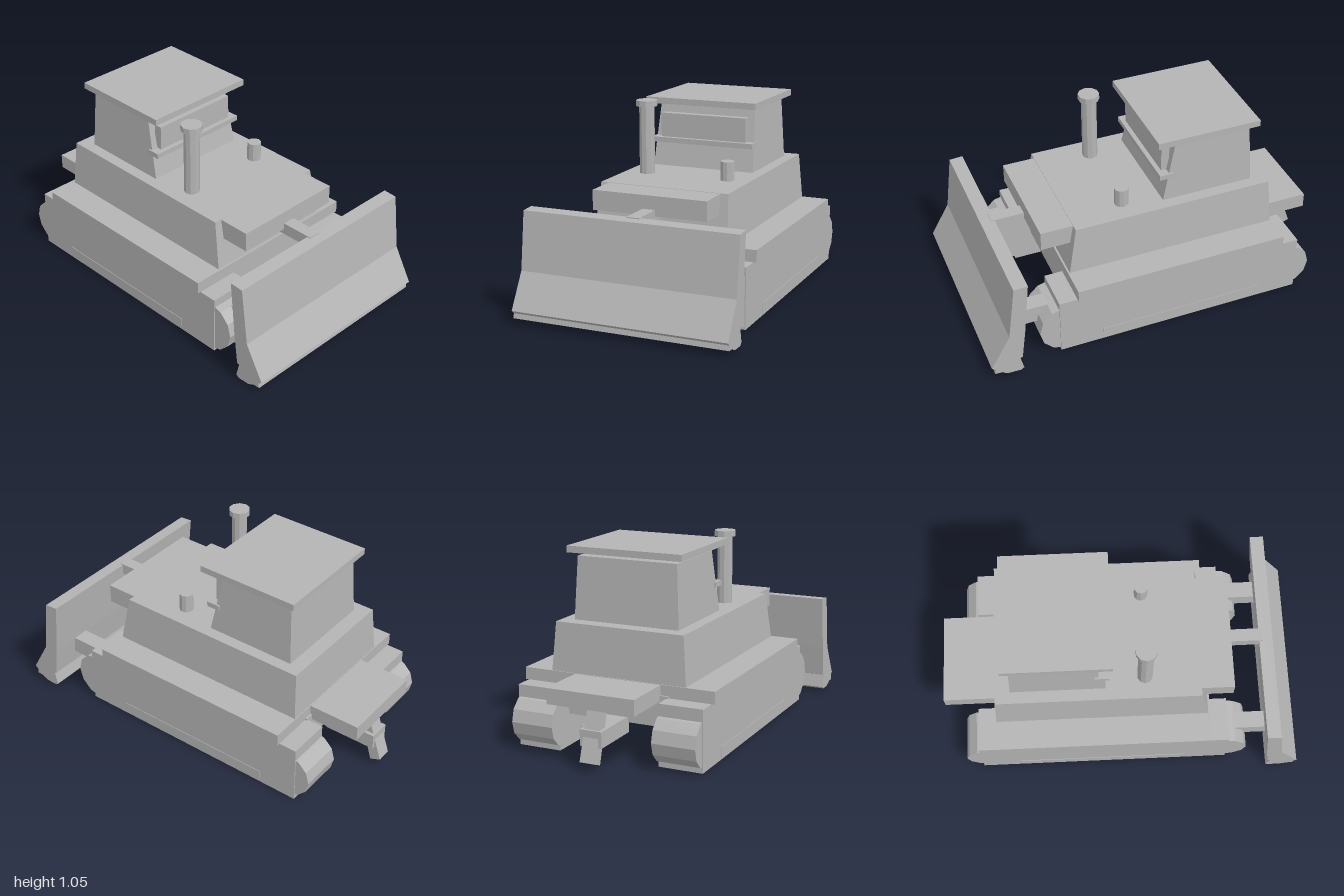
import * as THREE from 'three';

export function createModel() {
  const model = new THREE.Group();
  model.name = 'bulldozer';
  const grey = new THREE.MeshStandardMaterial({ color: 0xb4b4b4, flatShading: true });
  grey.name = 'plain grey';

  function add(name, geometry) {
    const mesh = new THREE.Mesh(geometry, grey);
    mesh.name = name;
    model.add(mesh);
    return mesh;
  }

  // Box given by its limits on each axis
  function box(name, x0, x1, y0, y1, z0, z1) {
    const g = new THREE.BoxGeometry(x1 - x0, y1 - y0, z1 - z0);
    g.translate((x0 + x1) / 2, (y0 + y1) / 2, (z0 + z1) / 2);
    return add(name, g);
  }

  // Box whose top rectangle differs from its bottom: [x0, x1, halfWidth]
  function taperedBox(name, y0, y1, bottom, top) {
    const g = new THREE.BoxGeometry(1, 1, 1);
    const p = g.attributes.position;
    for (let i = 0; i < p.count; i++) {
      const [x0, x1, w] = p.getY(i) > 0 ? top : bottom;
      p.setXYZ(i, p.getX(i) > 0 ? x1 : x0, p.getY(i) > 0 ? y1 : y0, Math.sign(p.getZ(i)) * w);
    }
    g.computeVertexNormals();
    return add(name, g);
  }

  // Side profile extruded symmetrically across z
  function profile(name, points, halfWidth) {
    const shape = new THREE.Shape(points.map(([x, y]) => new THREE.Vector2(x, y)));
    const g = new THREE.ExtrudeGeometry(shape, { depth: halfWidth * 2, bevelEnabled: false });
    g.translate(0, 0, -halfWidth);
    return add(name, g);
  }

  function pipe(name, x, z, y0, y1, r) {
    const g = new THREE.CylinderGeometry(r, r, y1 - y0, 10);
    g.translate(x, (y0 + y1) / 2, z);
    return add(name, g);
  }

  function wheel(name, x, y, z, r, width) {
    const g = new THREE.CylinderGeometry(r, r, width, 12);
    g.rotateX(Math.PI / 2);
    g.translate(x, y, z);
    return add(name, g);
  }

  // Tracks and push arms, mirrored
  for (const s of [-1, 1]) {
    const side = s > 0 ? 'left' : 'right';
    box(side + 'Track', -0.78, 0.6, 0, 0.325, s * 0.4 - 0.12, s * 0.4 + 0.12);
    box(side + 'TrackRail', -0.56, 0.36, 0.015, 0.07, s * 0.4 - 0.123, s * 0.4 + 0.123);
    wheel(side + 'FrontWheel', 0.57, 0.147, s * 0.397, 0.14, 0.235);
    wheel(side + 'RearWheel', -0.733, 0.145, s * 0.397, 0.128, 0.235);
    box(side + 'PushArm', 0.5, 0.83, 0.175, 0.27, s * 0.392 - 0.046, s * 0.392 + 0.046);
  }

  // Hull
  box('belly', -0.68, 0.5, 0.17, 0.33, -0.28, 0.28);
  box('fenderDeck', -0.68, 0.5, 0.325, 0.39, -0.538, 0.538);
  taperedBox('engineBody', 0.39, 0.648, [-0.675, 0.49, 0.38], [-0.66, 0.443, 0.36]);
  box('radiator', 0.4, 0.62, 0.54, 0.646, -0.318, 0.318);

  // Cab with roof, front window and sill
  taperedBox('cab', 0.648, 0.98, [-0.58, -0.07, 0.296], [-0.565, -0.14, 0.28]);
  box('roof', -0.605, -0.03, 1.0, 1.035, -0.322, 0.322);
  box('frontWindow', -0.12, -0.075, 0.8, 0.943, -0.25, 0.25);
  box('windowSill', -0.125, -0.05, 0.782, 0.81, -0.298, 0.298);

  // Pipes
  pipe('exhaustPipe', 0.143, 0.235, 0.64, 1.02, 0.042);
  pipe('exhaustCap', 0.143, 0.235, 1.015, 1.047, 0.058);
  pipe('airIntake', 0.143, -0.235, 0.64, 0.75, 0.038);

  // Blade and its upper link
  profile('blade', [
    [0.78, 0.57], [0.81, 0.27], [0.832, 0.1], [0.845, 0.095], [0.828, 0.022], [0.845, 0.01],
    [0.91, 0.012], [0.935, 0.022], [0.945, 0.03], [0.985, 0.032], [0.98, 0.058], [1, 0.075],
    [0.895, 0.258], [0.855, 0.565],
  ].reverse(), 0.588);
  box('bladeLink', 0.44, 0.8, 0.51, 0.574, -0.035, 0.035);

  // Rear ripper
  box('rearPlatform', -0.965, -0.66, 0.305, 0.388, -0.243, 0.243);
  box('rearBracket', -0.69, -0.66, 0.2, 0.335, -0.29, 0.29);
  box('ripperBar', -0.96, -0.67, 0.115, 0.2, -0.06, 0.06);
  profile('ripperShank', [[-1, 0.045], [-0.942, 0.022], [-0.855, 0.31], [-0.91, 0.31]], 0.041);

  return model;
}
